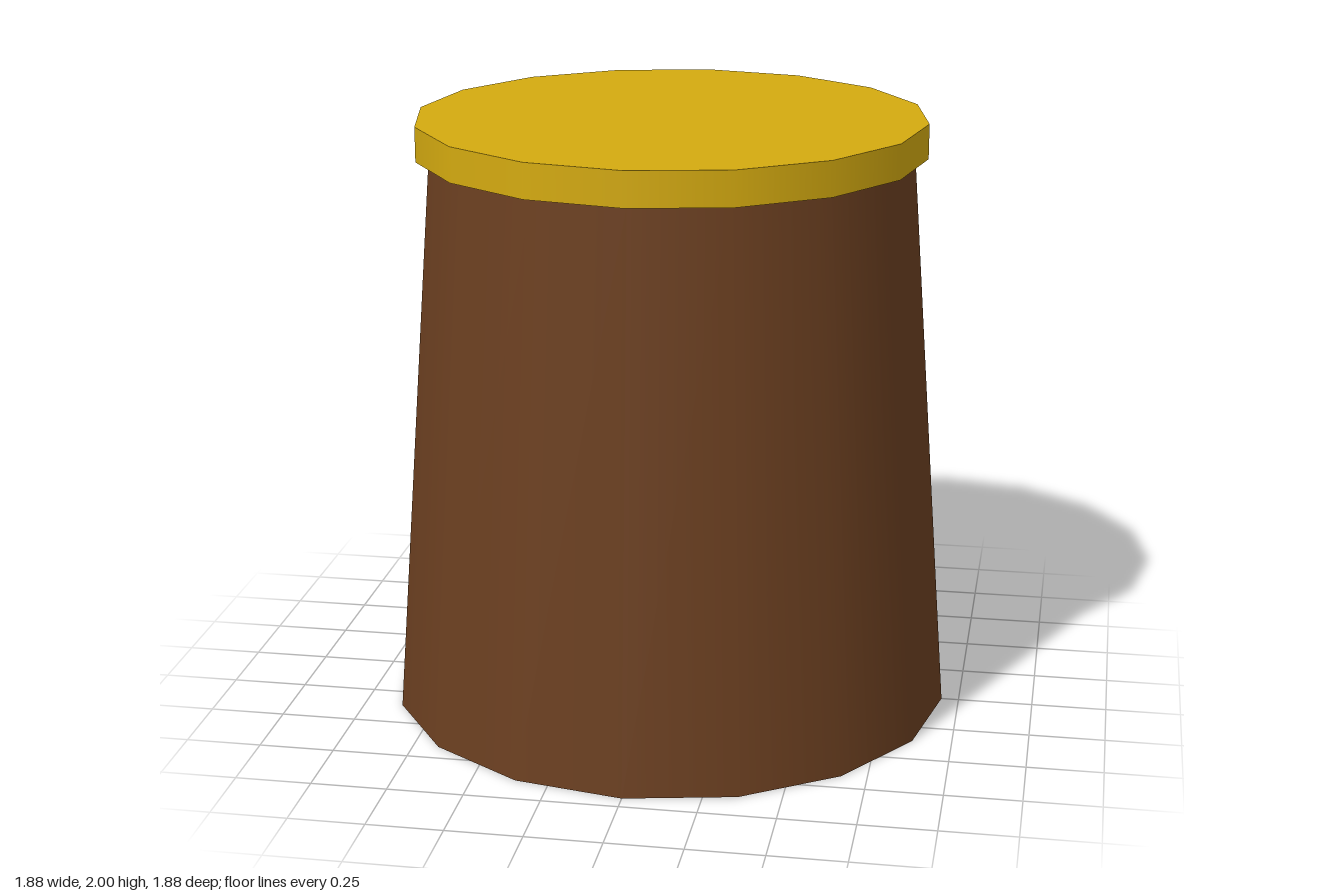
import * as THREE from 'three';

const SIDES = 16;

// Capped round part spanning from height y0 to y1
function addRound(group, name, rBottom, rTop, y0, y1, color) {
  const geometry = new THREE.CylinderGeometry(rTop, rBottom, y1 - y0, SIDES);
  const mesh = new THREE.Mesh(geometry, new THREE.MeshStandardMaterial({ color }));
  mesh.name = name;
  mesh.position.y = (y0 + y1) / 2;
  group.add(mesh);
}

export function createModel() {
  const group = new THREE.Group();
  group.name = 'taperedContainer';

  // Tapered body, wider at the base
  addRound(group, 'body', 0.942, 0.8, 0, 1.885, 0x6b3f20);

  // Flat lid overhanging the body
  addRound(group, 'lid', 0.842, 0.842, 1.885, 2, 0xd4aa10);

  return group;
}
